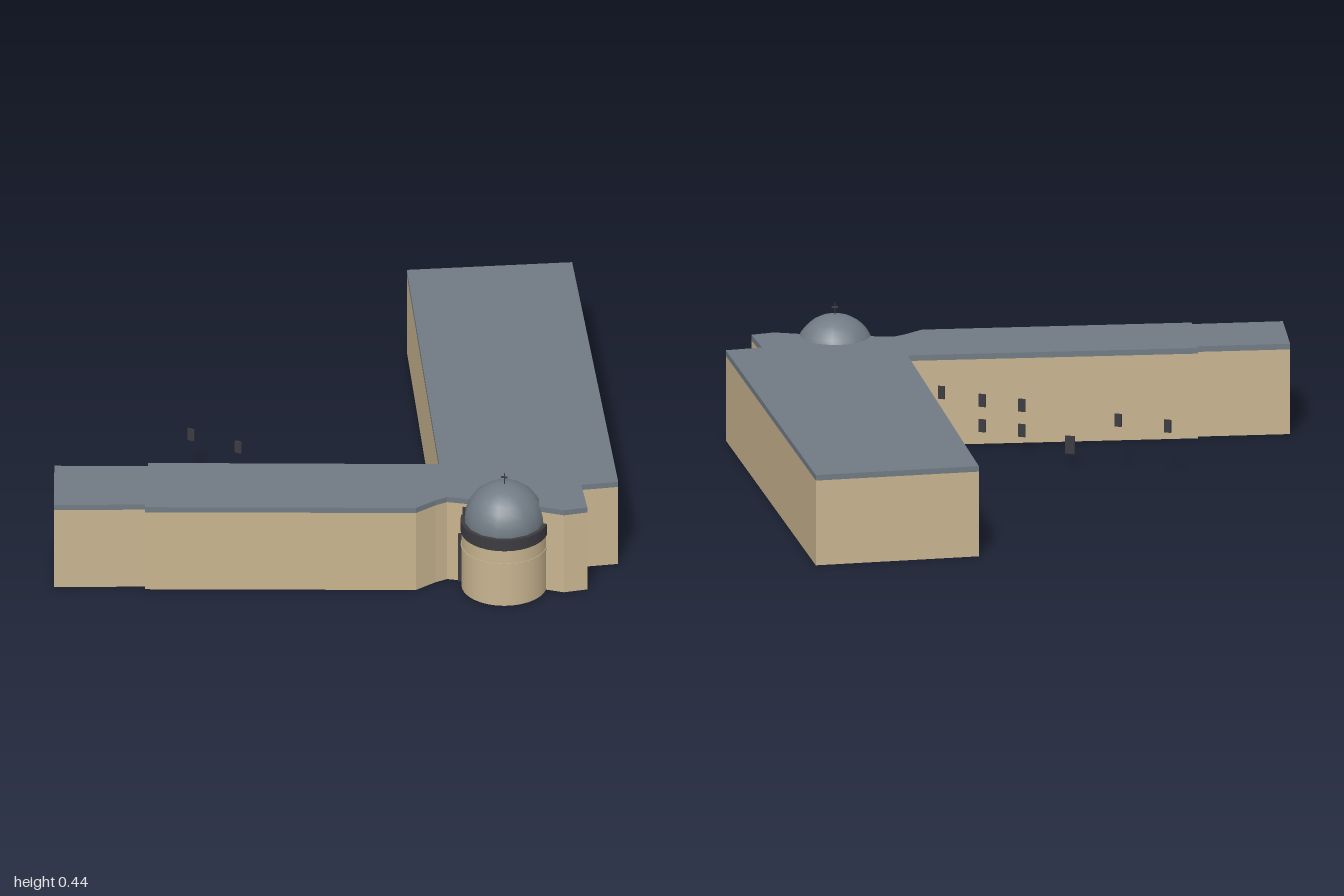
import * as THREE from 'three';

const mat = (name, color) => {
  const m = new THREE.MeshStandardMaterial({ color });
  m.name = name;
  return m;
};

export function createModel() {
  const wall = mat('sandstone', 0xc8b48f);
  const slate = mat('slate', 0x717b84);
  const dark = mat('darkTrim', 0x3b3b41);
  const group = new THREE.Group();
  group.name = 'building';

  const add = (name, geometry, material, x = 0, y = 0, z = 0, turn = 0) => {
    const mesh = new THREE.Mesh(geometry, material);
    mesh.name = name;
    mesh.position.set(x, y, z);
    mesh.rotation.y = turn;
    group.add(mesh);
    return mesh;
  };

  // Ground plan of the two wings, as x and z
  const plan = [
    [-0.96, 0.73], [-0.645, 0.67], [-0.65, 0.65], [0.33, 0.47],
    [-0.035, -0.84], [0.51, -1], [0.955, 0.475], [0.835, 0.52],
    [0.885, 0.67], [0.81, 0.705], [0.72, 0.695], [0.47, 0.69],
    [0.4, 0.69], [0.365, 0.72], [0.31, 0.785], [-0.6, 0.955],
    [-0.605, 0.937], [-0.91, 1],
  ];
  const shape = new THREE.Shape(plan.map(([x, z]) => new THREE.Vector2(x, -z)));
  const slab = (depth) =>
    new THREE.ExtrudeGeometry(shape, { depth, bevelEnabled: false }).rotateX(-Math.PI / 2);
  add('walls', slab(0.302), wall);
  add('roof', slab(0.02), slate, 0, 0.302, 0);

  // Round corner tower with string course, dark cornice and dome
  const tx = 0.6, tz = 0.692;
  add('towerDrum', new THREE.CylinderGeometry(0.147, 0.147, 0.22, 32), wall, tx, 0.11, tz);
  add('stringCourse', new THREE.CylinderGeometry(0.149, 0.149, 0.01, 32), wall, tx, 0.16, tz);
  add('cornice', new THREE.CylinderGeometry(0.15, 0.15, 0.043, 32), dark, tx, 0.237, tz);
  add('dome', new THREE.SphereGeometry(0.138, 16, 8, 0, Math.PI * 2, 0, Math.PI / 2),
    slate, tx, 0.258, tz);

  // Finial on the dome
  add('finialPole', new THREE.CylinderGeometry(0.002, 0.002, 0.05, 6), dark, tx, 0.412, tz);
  add('finialBar', new THREE.BoxGeometry(0.022, 0.005, 0.005), dark, tx, 0.422, tz);

  // Entrance beside the tower
  add('door', new THREE.BoxGeometry(0.03, 0.185, 0.008), dark, 0.455, 0.0925, 0.694);
  add('doorWindow', new THREE.BoxGeometry(0.02, 0.04, 0.008), dark, 0.465, 0.27, 0.694);

  // Row of detached courtyard windows: x, z, heights, size
  const windows = [
    [-0.59, 0.18, [0.18]], [-0.415, 0.235, [0.18]], [-0.245, 0.285, [0.073], 1.4],
    [-0.07, 0.385, [0.09, 0.18]], [0.07, 0.43, [0.09, 0.18]],
    [0.215, 0.48, [0.083, 0.19]], [0.325, 0.465, [0.2]],
  ];
  for (const [x, z, heights, s = 1] of windows) {
    for (const y of heights) {
      add('courtyardWindow', new THREE.BoxGeometry(0.024 * s, 0.045 * s, 0.006),
        dark, x, y, z, -0.26);
    }
  }
  return group;
}
